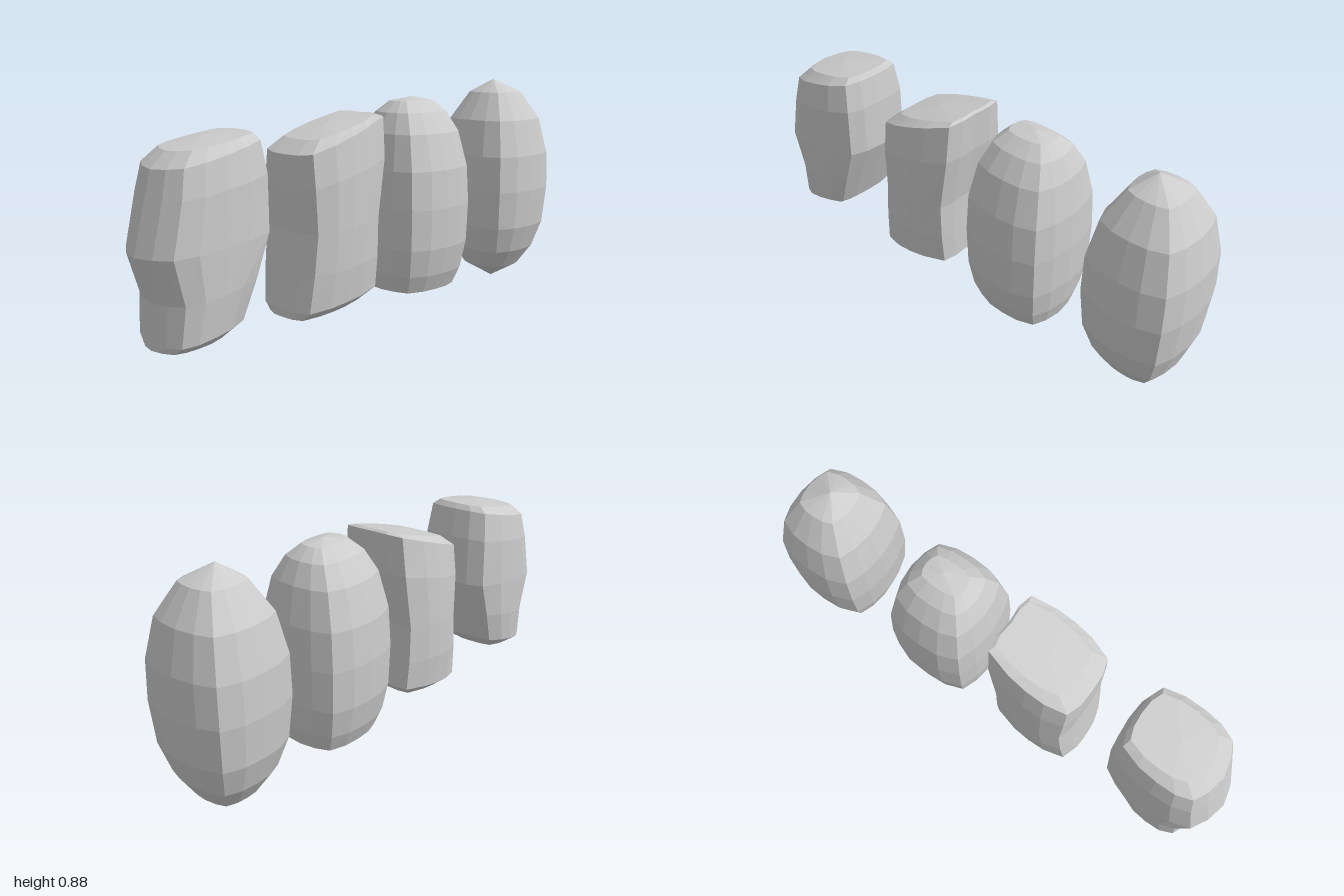
import * as THREE from 'three';

// One quarter of a rock's outline seen from above, from the side to the front; c sets how square the corner is.
const quarter = (c) => [[1, 0], [0.5 + 0.55 * c, 0.45], [c, 0.82], [0.42, 0.97]];

// Full outline, with separate corner values for its +x and -x ends.
function outline(cPlus, cMinus) {
  const p = quarter(cPlus), m = quarter(cMinus);
  return [
    ...p,
    [0, 1],
    ...m.slice(1).reverse().map(([x, z]) => [-x, z]),
    ...m.map(([x, z]) => [-x, -z]),
    [0, -1],
    ...p.slice(1).reverse().map(([x, z]) => [x, -z]),
  ];
}

// Lofts a rock through tilted rings [xMin, yAtXMin, xMax, yAtXMax, halfDepth], closed at two end points.
function rock(name, section, rings, bottom, top) {
  const n = section.length;
  const pos = [], index = [];
  for (const [x0, y0, x1, y1, depth] of rings) {
    for (const [u, v] of section) {
      const t = (u + 1) / 2;
      pos.push(x0 + (x1 - x0) * t, y0 + (y1 - y0) * t, v * depth);
    }
  }
  pos.push(...bottom, ...top);
  const base = rings.length * n, tip = base + 1, last = base - n;
  for (let j = 0; j < n; j++) {
    const k = (j + 1) % n;
    for (let r = 0; r < last; r += n) {
      index.push(r + j, r + n + j, r + k, r + k, r + n + j, r + n + k);
    }
    index.push(base, j, k, tip, last + k, last + j);
  }
  const geometry = new THREE.BufferGeometry();
  geometry.setAttribute('position', new THREE.Float32BufferAttribute(pos, 3));
  geometry.setIndex(index);
  geometry.computeVertexNormals();
  const mesh = new THREE.Mesh(
    geometry,
    new THREE.MeshStandardMaterial({ color: 0xcccccc, flatShading: true }),
  );
  mesh.name = name;
  return mesh;
}

// Level rings of an egg-like rock: width and depth shrink away from the middle height.
function barrelRings(x, midY, levels, widthPower, depthPower) {
  return levels.map((y) => {
    const full = 1 - Math.abs((y - midY) / 0.44) ** 2.6;
    const w = 0.2 * full ** widthPower;
    return [x - w, y, x + w, y, 0.208 * full ** depthPower];
  });
}

// Tilted rings of a slab-like rock from its two edge lines, with rounded depth at both ends.
const SLAB_DEPTHS = [0.115, 0.16, 0.175, 0.18, 0.177, 0.16, 0.125];
const slabRings = (edges) => edges.map((e, i) => [...e, SLAB_DEPTHS[i]]);

export function createModel() {
  const group = new THREE.Group();
  group.name = 'rockRow';

  // Slab with a bulging left side and a sloping top
  const slanted = slabRings([
    [-0.95, 0.05, -0.72, 0.07],
    [-0.95, 0.07, -0.65, 0.13],
    [-0.945, 0.21, -0.595, 0.27],
    [-1, 0.37, -0.535, 0.42],
    [-0.955, 0.55, -0.54, 0.62],
    [-0.93, 0.65, -0.56, 0.735],
    [-0.87, 0.705, -0.575, 0.755],
  ]);
  group.add(rock('slantedRock', outline(0.86, 0.76), slanted, [-0.85, 0.045, 0], [-0.74, 0.738, 0]));

  // Squarer slab leaning out to a high corner
  const wedge = slabRings([
    [-0.4, 0.05, -0.11, 0.08],
    [-0.4, 0.08, -0.05, 0.13],
    [-0.385, 0.22, -0.05, 0.25],
    [-0.37, 0.37, -0.05, 0.4],
    [-0.38, 0.53, -0.015, 0.62],
    [-0.38, 0.65, -0.01, 0.775],
    [-0.32, 0.7, -0.02, 0.782],
  ]);
  group.add(rock('wedgeRock', outline(0.97, 0.88), wedge, [-0.28, 0.05, 0], [-0.19, 0.745, 0]));

  // Blunt egg with a flat base
  const bluntLevels = [0.06, 0.13, 0.24, 0.4, 0.55, 0.69, 0.77, 0.813];
  group.add(rock('bluntRock', outline(0.82, 0.82),
    barrelRings(0.268, 0.39, bluntLevels, 0.35, 0.55), [0.26, 0.055, 0], [0.28, 0.828, 0]));

  // Egg pointed at both ends
  const pointedLevels = [0.06, 0.14, 0.25, 0.41, 0.56, 0.71, 0.825];
  group.add(rock('pointedRock', outline(0.82, 0.82),
    barrelRings(0.8, 0.44, pointedLevels, 0.61, 0.63), [0.8, 0, 0], [0.785, 0.88, 0]));

  return group;
}
